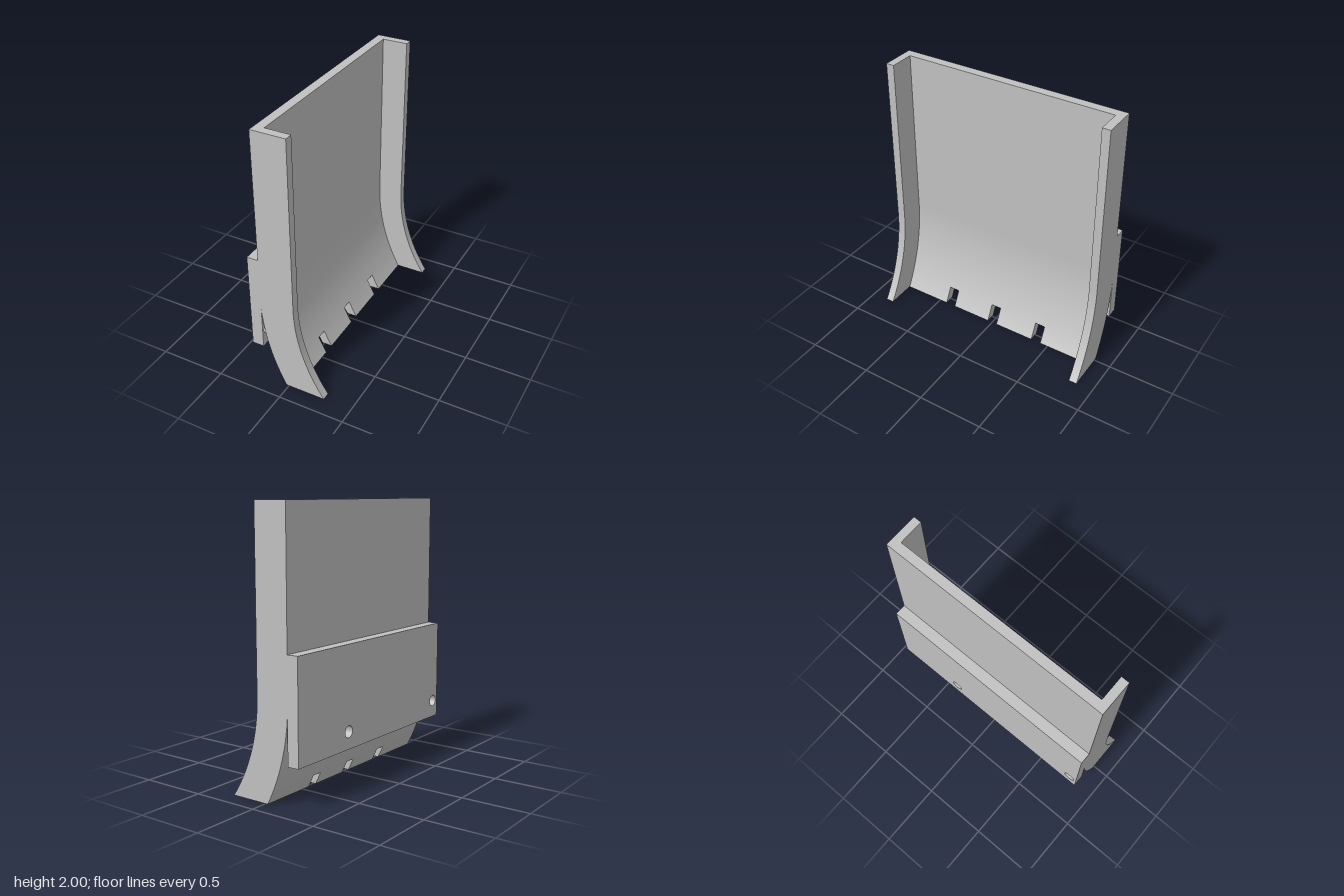
import * as THREE from 'three';
import { toCreasedNormals } from 'three/addons/utils/BufferGeometryUtils.js';

const CX = 1.324, CY = 0.72;            // centre of the concentric bends
const R_BACK = 1.524, R_PLATE = 1.454, R_LIP = 1.264;
const HALF = 0.872, WALL = 0.062, TOP = 2;
const NOTCH_ANGLE = Math.asin(0.6 / R_PLATE);

// Angle at which a bend of radius r reaches the ground
const groundAngle = (r) => Math.asin(CY / r);

// Points along a bend, from angle a0 to a1 below the horizontal
function bend(r, a0, a1, n = 24) {
  return Array.from({ length: n + 1 }, (_, i) => {
    const a = a0 + ((a1 - a0) * i) / n;
    return new THREE.Vector2(CX - r * Math.cos(a), CY - r * Math.sin(a));
  });
}

// Closed band between two radii, optionally continued straight up to the top
function band(r0, r1, start, end0, end1, straight) {
  const outer = bend(r0, start, end0);
  const inner = bend(r1, start, end1).reverse();
  if (straight) {
    outer.unshift(new THREE.Vector2(CX - r0, TOP));
    inner.push(new THREE.Vector2(CX - r1, TOP));
  }
  return new THREE.Shape([...outer, ...inner]);
}

export function createModel() {
  const model = new THREE.Group();
  model.name = 'curvedChute';
  const grey = new THREE.MeshStandardMaterial({ color: 0xc0c0c0 });
  grey.name = 'plain grey';

  function add(name, geometry) {
    const mesh = new THREE.Mesh(toCreasedNormals(geometry, 0.5), grey);
    mesh.name = name;
    model.add(mesh);
  }
  function extrudeZ(name, shape, z0, z1) {
    const g = new THREE.ExtrudeGeometry(shape, { depth: z1 - z0, bevelEnabled: false });
    add(name, g.translate(0, 0, z0));
  }

  // Side walls
  const wall = band(R_BACK, R_LIP, 0, groundAngle(R_BACK), groundAngle(R_LIP), true);
  extrudeZ('frontSideWall', wall, HALF - WALL, HALF);
  extrudeZ('backSideWall', wall, -HALF, -HALF + WALL);

  // Curved plate between the walls, down to the notch tops
  const inside = HALF - WALL;
  extrudeZ('curvedPlate', band(R_BACK, R_PLATE, 0, NOTCH_ANGLE, NOTCH_ANGLE, true), -inside, inside);

  // Lower edge of the plate, interrupted by three notches
  const tooth = band(R_BACK, R_PLATE, NOTCH_ANGLE, groundAngle(R_BACK), groundAngle(R_PLATE), false);
  const edges = [-inside];
  for (const z of [-0.397, 0, 0.397]) edges.push(z - 0.04, z + 0.04);
  edges.push(inside);
  for (let i = 0; i < edges.length; i += 2) extrudeZ('lowerEdge', tooth, edges[i], edges[i + 1]);

  // Mounting board on the outside, with two bolt holes
  const board = new THREE.Shape([
    new THREE.Vector2(-HALF, 0.29), new THREE.Vector2(HALF, 0.29),
    new THREE.Vector2(HALF, 1.03), new THREE.Vector2(-HALF, 1.03),
  ]);
  for (const z of [-0.32, 0.81]) {
    board.holes.push(new THREE.Path().absarc(z, 0.417, 0.043, 0, Math.PI * 2, true));
  }
  const boardGeometry = new THREE.ExtrudeGeometry(board, { depth: 0.088, bevelEnabled: false, curveSegments: 24 });
  add('mountingBoard', boardGeometry.rotateY(-Math.PI / 2).translate(-0.197, 0, 0));

  return model;
}
